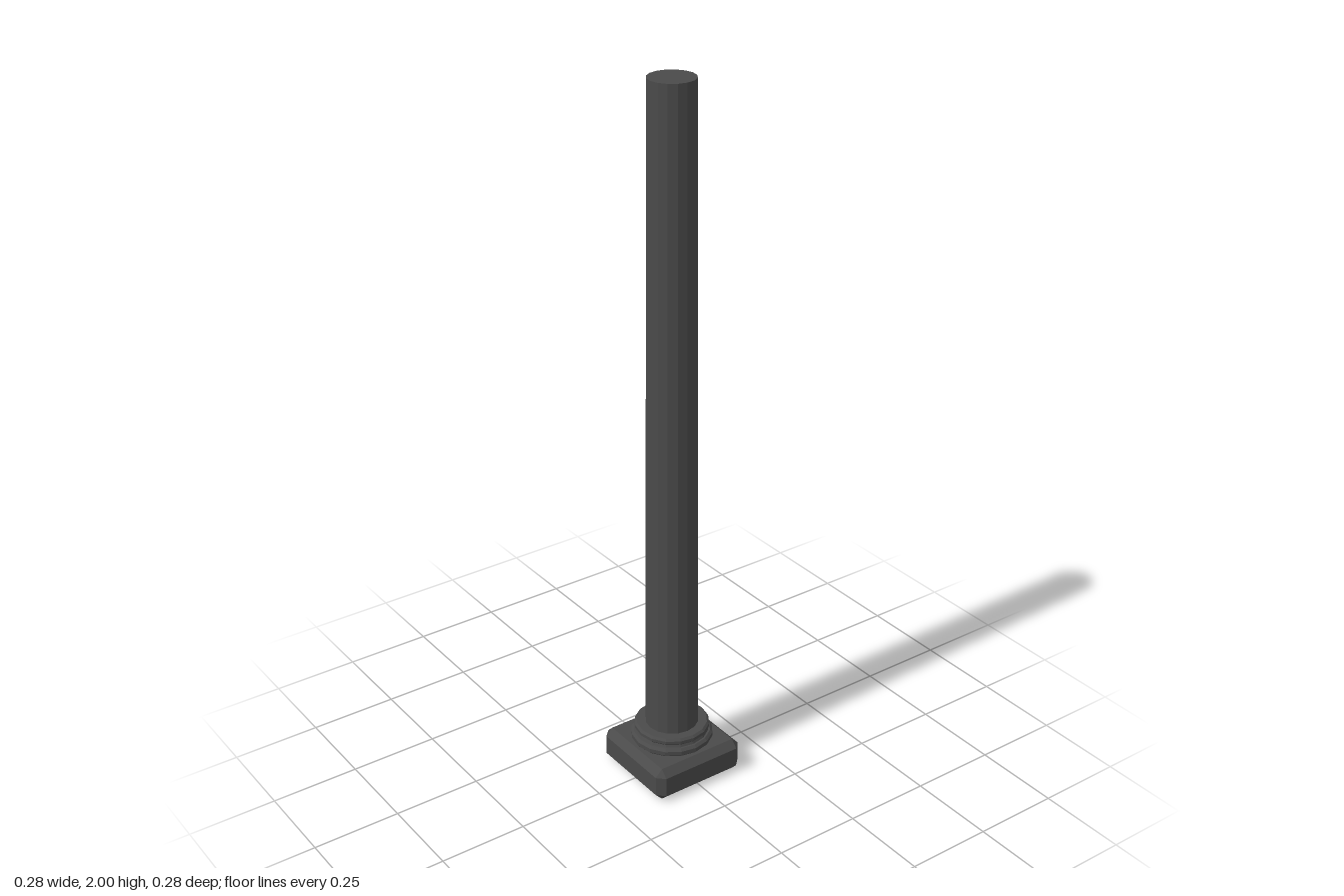
import * as THREE from 'three';
import { ConvexGeometry } from 'three/addons/geometries/ConvexGeometry.js';

const SIDES = 16;

// Box with every edge and corner cut off by the same amount
function chamferedBox(w, h, d, c) {
  const points = [];
  for (const x of [-1, 1]) for (const y of [-1, 1]) for (const z of [-1, 1]) {
    for (let axis = 0; axis < 3; axis++) {
      const p = [w / 2 - c, h / 2 - c, d / 2 - c];
      p[axis] += c;
      points.push(new THREE.Vector3(x * p[0], y * p[1], z * p[2]));
    }
  }
  return new ConvexGeometry(points);
}

// Closed turned ring, rounded by small chamfers
function ringGeometry(radius, y0, y1, c) {
  const profile = [
    [0, y0], [radius - c, y0], [radius, y0 + c],
    [radius, y1 - c], [radius - c, y1], [0, y1],
  ].map(([r, y]) => new THREE.Vector2(r, y));
  return new THREE.LatheGeometry(profile, SIDES);
}

export function createModel() {
  const group = new THREE.Group();
  const material = new THREE.MeshStandardMaterial({ color: 0x4a4a4a, flatShading: true });
  const add = (name, geometry, y = 0) => {
    const mesh = new THREE.Mesh(geometry, material);
    mesh.name = name;
    mesh.position.y = y;
    group.add(mesh);
  };

  // Square foot
  add('plinth', chamferedBox(0.285, 0.1, 0.285, 0.021), 0.05);

  // Stepped mouldings with a recessed neck between them
  add('lowerRing', ringGeometry(0.116, 0.098, 0.124, 0.007));
  add('neck', new THREE.CylinderGeometry(0.1, 0.105, 0.012, SIDES), 0.127);
  add('upperRing', ringGeometry(0.106, 0.13, 0.151, 0.006));

  // Gently tapering shaft
  add('shaft', new THREE.CylinderGeometry(0.063, 0.075, 1.86, SIDES), 1.07);

  return group;
}
